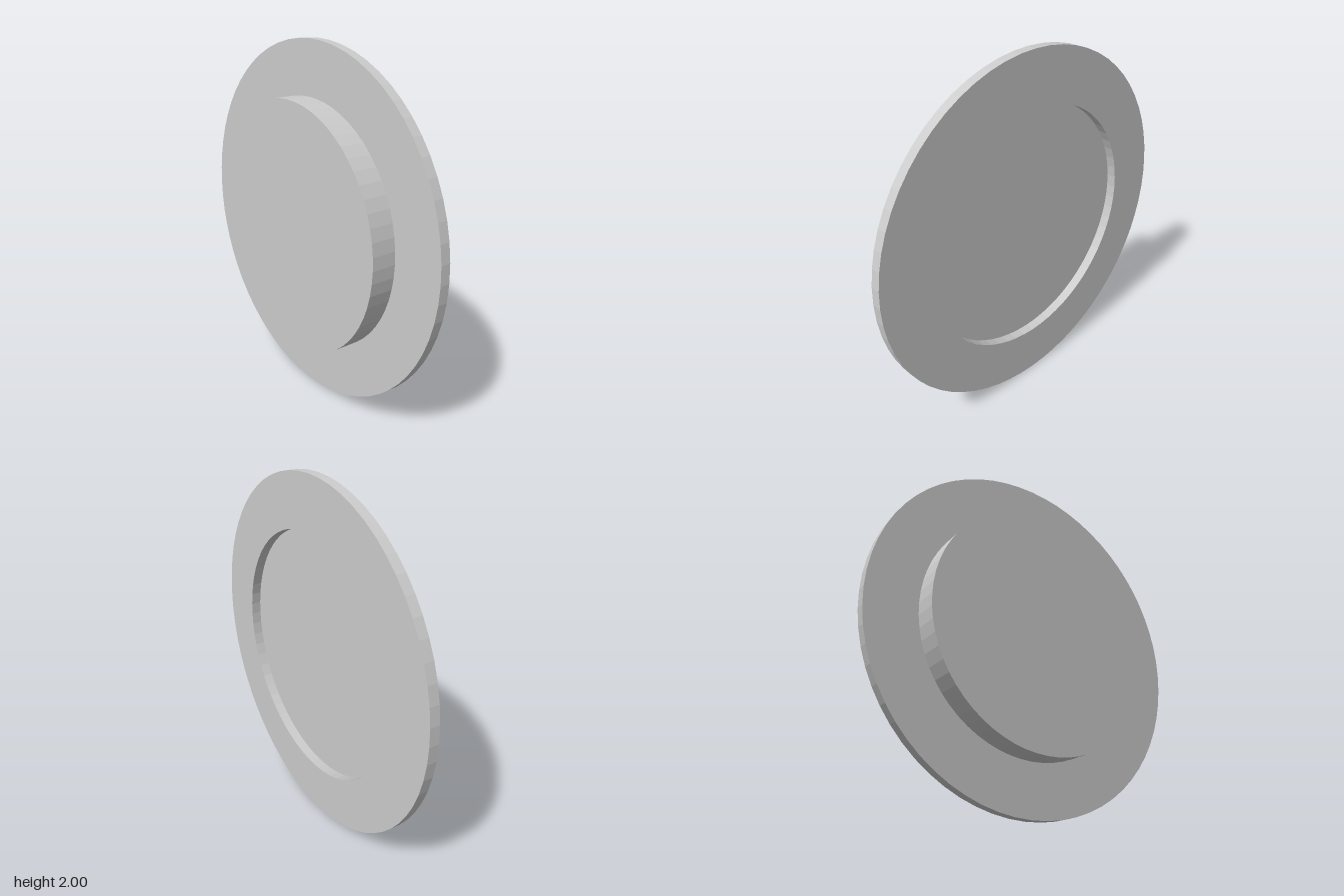
import * as THREE from 'three';

const SEGMENTS = 64;
const BACK = -0.098, STEP = -0.042, FRONT = 0.098;
const OUTER = 1, INNER = 0.705;

export function createModel() {
  const group = new THREE.Group();
  group.name = 'flangedDisc';
  const material = new THREE.MeshStandardMaterial({ color: 0xcccccc, flatShading: true });

  const add = (name, geometry) => {
    geometry.rotateX(Math.PI / 2); // turn the axis from y to z
    const mesh = new THREE.Mesh(geometry, material);
    mesh.name = name;
    mesh.position.y = OUTER;
    group.add(mesh);
  };

  // Thin flange ring at the back, open in the middle
  const profile = [[INNER, BACK], [OUTER, BACK], [OUTER, STEP], [INNER, STEP], [INNER, BACK]];
  add('flangeRing', new THREE.LatheGeometry(profile.map(([r, h]) => new THREE.Vector2(r, h)), SEGMENTS));

  // Solid disc in front, whose back face forms the floor of the recess
  const disc = new THREE.CylinderGeometry(INNER, INNER, FRONT - STEP, SEGMENTS);
  disc.translate(0, (FRONT + STEP) / 2, 0);
  add('raisedDisc', disc);

  return group;
}
